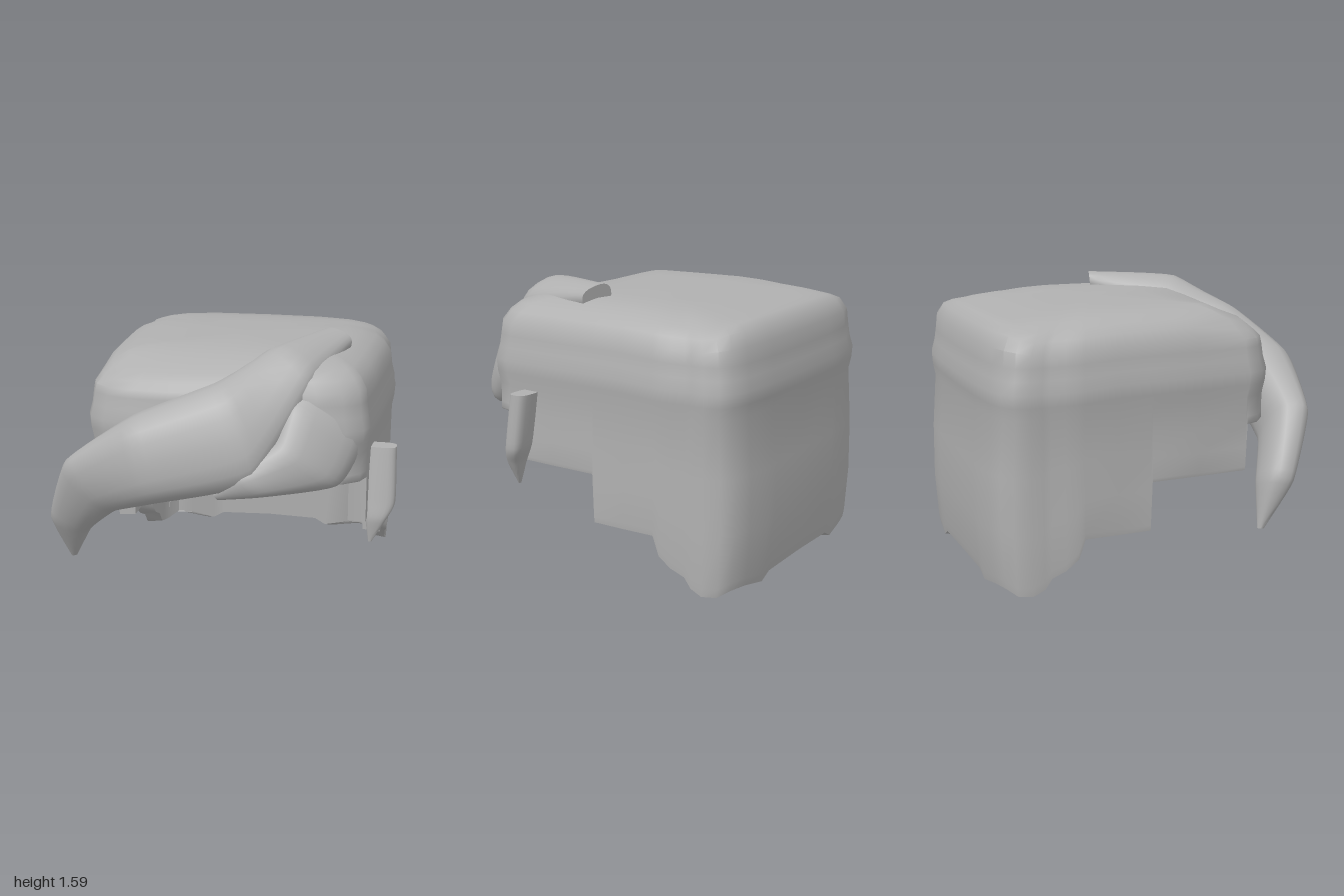
import * as THREE from 'three';
import { toCreasedNormals } from 'three/addons/utils/BufferGeometryUtils.js';

const { clamp, lerp, smoothstep } = THREE.MathUtils;
const V = (a) => new THREE.Vector3(...a);

// Surface from a grid of points: rows of equal length; flip reverses the facing
function gridGeometry(rows, closeRows, closeCols, flip) {
  const n = rows.length, m = rows[0].length, index = [];
  for (let i = 0; i < (closeRows ? n : n - 1); i++) {
    for (let j = 0; j < (closeCols ? m : m - 1); j++) {
      const i2 = (i + 1) % n, j2 = (j + 1) % m;
      const a = i * m + j, b = i2 * m + j, c = i * m + j2, d = i2 * m + j2;
      if (flip) index.push(a, b, c, b, d, c);
      else index.push(a, c, b, b, c, d);
    }
  }
  const geometry = new THREE.BufferGeometry().setFromPoints(rows.flat());
  geometry.setIndex(index);
  return toCreasedNormals(geometry, 0.75);
}

// Hair lock: each station is [one edge, opposite edge, bulge vector]
function lockGeometry(stations, steps = 24, power = 0.8, tension = 0.3) {
  const curves = [0, 1, 2].map((k) =>
    new THREE.CatmullRomCurve3(stations.map((s) => V(s[k])), false, 'catmullrom', tension));
  const rows = [], sides = 20;
  const soft = (v) => Math.sign(v) * Math.abs(v) ** power;
  for (let i = 0; i <= steps; i++) {
    const [top, low, bulge] = curves.map((c) => c.getPoint(i / steps));
    const centre = top.clone().add(low).multiplyScalar(0.5);
    const half = top.sub(low).multiplyScalar(0.5);
    const ring = [];
    for (let j = 0; j < sides; j++) {
      const t = (j / sides) * Math.PI * 2;
      ring.push(centre.clone().addScaledVector(half, soft(Math.cos(t))).addScaledVector(bulge, soft(Math.sin(t))));
    }
    if (i === 0) rows.push(ring.map(() => centre.clone()));
    rows.push(ring);
    if (i === steps) rows.push(ring.map(() => centre.clone()));
  }
  return gridGeometry(rows, false, true, true);
}

// Hollow cap: half outline from front to back as [x, z, bottom edge height]
function capGeometry() {
  const half = [
    [0, 0.72, 0.87], [0.3, 0.72, 0.87], [0.54, 0.71, 0.87], [0.68, 0.67, 0.87], [0.77, 0.6, 0.87],
    [0.8, 0.52, 0.87], [0.8, 0.51, 0.6], [0.825, 0.2, 0.6], [0.84, -0.09, 0.6],
    [0.84, -0.1, 0.32], [0.85, -0.3, 0.32], [0.855, -0.5, 0.32], [0.855, -0.54, 0.21],
    [0.845, -0.61, 0.15], [0.83, -0.69, 0.11], [0.825, -0.73, 0.05], [0.83, -0.8, 0.02],
    [0.8, -0.88, 0.02], [0.74, -0.93, 0.05], [0.62, -0.96, 0.05], [0.45, -0.975, 0.02],
    [0.37, -0.98, 0.06], [0, -0.985, 0.07],
  ];
  const mirrored = half.slice(1, -1).reverse().map(([x, z, b]) => [-x, z, b]);
  // Crown profile from the middle down over the ridges: [scale, height]
  const crown = [[0, 1.54], [0.4, 1.54], [0.66, 1.535], [0.76, 1.515], [0.86, 1.485],
    [0.92, 1.44], [0.965, 1.38], [0.975, 1.31], [0.985, 1.24], [1.005, 1.17], [1, 1.1], [0.985, 1.03]];
  const cx = 0.03, cz = -0.13;
  const rows = [...half, ...mirrored].map(([x, z, b]) => {
    const at = (s, y) => new THREE.Vector3(cx + x * s, y, cz + (z - cz) * s);
    const points = crown.map(([s, y]) => {
      const p = at(s, y);
      const upper = smoothstep(y, 1.3, 1.45);
      // gentle fall to the back, raised rear rim, lower brow on the right
      p.y -= 0.025 * smoothstep(-p.z, 0.2, 0.7);
      p.y += 0.035 * upper * smoothstep(-p.z, 0.78, 0.9);
      p.y -= 0.045 * upper * smoothstep(p.z, 0.3, 0.55) * smoothstep(-p.x, -0.4, 0.1);
      return p;
    });
    // outer wall
    const back = smoothstep(-z, 0.75, 0.95);
    for (const t of [0.33, 0.66, 0.95]) {
      const p = at(0.98 + 0.005 * t, lerp(1.0, b, t));
      p.z -= 0.03 * back * Math.sin(Math.PI * t);
      points.push(p);
    }
    points.push(at(0.98, b));
    // inner wall, thinning towards the nape, and ceiling
    const ix = cx + clamp(x * 0.86, -0.72, 0.72);
    const iz = clamp(z, -0.87, 0.56);
    const rim = z < -0.9 ? -0.93 : iz;
    points.push(new THREE.Vector3(ix, b + 0.01, rim), new THREE.Vector3(ix, 1.4, iz));
    points.push(new THREE.Vector3(cx, 1.41, cz));
    return points;
  });
  return gridGeometry(rows, true, false, false);
}

export function createModel() {
  const model = new THREE.Group();
  model.name = 'blockyHair';
  const hair = new THREE.MeshStandardMaterial({ color: 0xb0b0b0 });
  hair.name = 'hairGrey';
  hair.side = THREE.DoubleSide;
  const add = (name, geometry) => {
    const mesh = new THREE.Mesh(geometry, hair);
    mesh.name = name;
    model.add(mesh);
  };

  add('hairCap', capGeometry());

  // Long fringe sweeping from the crown across the forehead
  add('sweptFringe', lockGeometry([
    [[0.49, 1.57, 0.02], [0.67, 1.52, 0.09], [0.02, 0.06, 0]],
    [[0.21, 1.52, 0.43], [0.5, 1.35, 0.58], [0.07, 0.12, 0.08]],
    [[0, 1.43, 0.71], [0.22, 0.9, 0.83], [0.06, 0.03, 0.15]],
    [[-0.44, 1.25, 0.79], [-0.3, 0.77, 0.85], [-0.01, 0.01, 0.175]],
    [[-0.82, 0.98, 0.78], [-0.57, 0.67, 0.76], [-0.04, 0, 0.11]],
    [[-0.98, 0.6, 0.64], [-0.76, 0.5, 0.62], [-0.02, -0.02, 0.08]],
    [[-0.91, 0.29, 0.54], [-0.88, 0.29, 0.53], [0, 0, 0.015]],
  ], 36, 0.8, 0.2));

  // Shorter lock beneath it, blending into the temple
  add('shortFringe', lockGeometry([
    [[0.46, 1.46, 0.48], [0.78, 1.3, 0.45], [0.04, 0.03, 0.08]],
    [[0.38, 1.32, 0.67], [0.77, 1.04, 0.53], [0.05, 0.02, 0.12]],
    [[0.33, 1.14, 0.79], [0.66, 0.87, 0.65], [0.05, 0, 0.12]],
    [[0.14, 0.99, 0.86], [0.3, 0.84, 0.82], [0.02, 0, 0.1]],
    [[0.01, 0.86, 0.86], [0.05, 0.81, 0.85], [0, 0, 0.04]],
  ]));

  // Pointed lock beside the left cheek
  add('sideLock', lockGeometry([
    [[0.8, 1.015, 0.34], [0.97, 1.015, 0.35], [0, 0, 0.055]],
    [[0.8, 0.72, 0.39], [0.975, 0.7, 0.39], [0, 0, 0.055]],
    [[0.81, 0.6, 0.42], [0.93, 0.6, 0.42], [0, 0, 0.04]],
    [[0.83, 0.46, 0.43], [0.85, 0.46, 0.43], [0, 0, 0.005]],
  ], 18, 0.65));

  return model;
}
